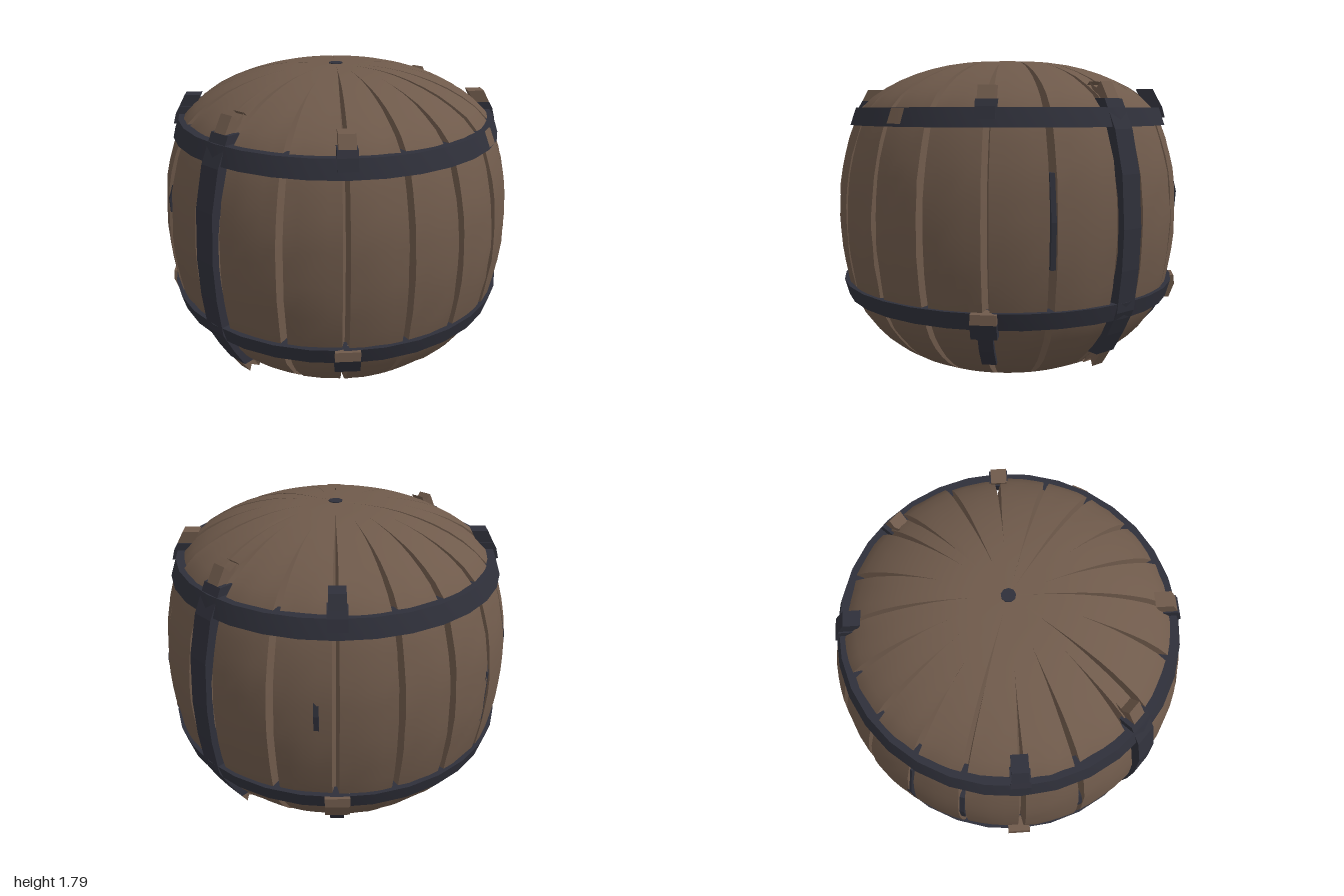
import * as THREE from 'three';
import { toCreasedNormals } from 'three/addons/utils/BufferGeometryUtils.js';

const wood = new THREE.MeshStandardMaterial({ color: 0x6f5a4b });
wood.name = 'brown wood';
const iron = new THREE.MeshStandardMaterial({ color: 0x2f303a });
iron.name = 'dark iron';

const rad = THREE.MathUtils.degToRad;
let seed = 7;
const rnd = () => (seed = (seed * 16807) % 2147483647) / 2147483647;

// Half outline of the barrel: radius, height
const outline = new THREE.CatmullRomCurve3([
  [0.005, 0.005], [0.3, 0.02], [0.54, 0.09], [0.7, 0.18], [0.84, 0.32], [0.925, 0.46], [0.955, 0.58],
  [0.985, 0.8], [0.987, 0.98], [0.965, 1.2], [0.9, 1.42], [0.85, 1.52], [0.75, 1.61],
  [0.58, 1.7], [0.33, 1.77], [0.005, 1.79],
].map(([r, y]) => new THREE.Vector3(r, y, 0)));
const profile = outline.getSpacedPoints(34);

// Groove directions, measured from the front; narrow staves sit at both sides
const quarter = [9, 26.5, 45.5, 64.5, 85.5];
const edges = [...quarter, ...quarter.map(a => 180 - a).reverse(),
  ...quarter.map(a => 180 + a), ...quarter.map(a => 360 - a).reverse()];
const grooves = edges.map(a => ({
  a: rad(a), top: 0.05 + rnd() * 0.4, bottom: 0.05 + rnd() * 0.35,
}));

function mesh(name, geometry, material) {
  const m = new THREE.Mesh(geometry, material);
  m.name = name;
  return m;
}

// Groove strength fades towards the two poles
function fade(groove, p) {
  const start = p.y > 0.9 ? groove.top : groove.bottom;
  return THREE.MathUtils.smoothstep(p.x, start, start + 0.4);
}

// One stave from pole to pole, with both long edges folded into the grooves
function staveGeometry(g0, g1, a1) {
  const pos = [], index = [], n = 7;
  const lift = (rnd() - 0.5) * 0.012;
  profile.forEach((p, j) => {
    const f0 = fade(g0, p), f1 = fade(g1, p);
    const body = THREE.MathUtils.smoothstep(p.x, 0.5, 0.85);
    const left = g0.a + 0.003 + 0.016 * f0, right = a1 - 0.003 - 0.016 * f1;
    for (let i = 0; i < n; i++) {
      let a, s;
      if (i === 0) { a = g0.a; s = 1 - 0.085 * f0; }
      else if (i === n - 1) { a = a1; s = 1 - 0.085 * f1; }
      else {
        a = THREE.MathUtils.lerp(left, right, (i - 1) / (n - 3));
        s = 1 + (lift + (rnd() - 0.5) * 0.006) * body;
      }
      pos.push(Math.sin(a) * p.x * s, 0.9 + (p.y - 0.9) * s, Math.cos(a) * p.x * s);
      if (i < n - 1 && j < profile.length - 1) {
        const k = j * n + i;
        index.push(k, k + 1, k + n + 1, k, k + n + 1, k + n);
      }
    }
  });
  const g = new THREE.BufferGeometry();
  g.setAttribute('position', new THREE.Float32BufferAttribute(pos, 3));
  g.setIndex(index);
  return toCreasedNormals(g, rad(30));
}

// Hoop with a slanted outer face, optionally only an arc of it
function hoop(name, r0, y0, r1, y1, material, start = 0, sweep = Math.PI * 2, steps = 32) {
  const pts = [[r0 - 0.08, y0], [r0, y0], [r1, y1], [r1 - 0.08, y1]].map(p => new THREE.Vector2(...p));
  const g = new THREE.LatheGeometry(pts, steps, start, sweep);
  return mesh(name, toCreasedNormals(g, rad(25)), material);
}

// Bar of given width whose outer face follows [radius, height] points at one direction
function strap(name, angle, points, width, thick, material) {
  const inner = points.map(([r, y]) => [r - thick, y]).reverse();
  const shape = new THREE.Shape([...points, ...inner].map(p => new THREE.Vector2(...p)));
  const g = new THREE.ExtrudeGeometry(shape, { depth: width, bevelEnabled: false });
  g.translate(0, 0, -width / 2).rotateY(rad(angle - 90));
  return mesh(name, g, material);
}

export function createModel() {
  const model = new THREE.Group();
  model.name = 'barrel';

  // Staves
  const staves = new THREE.Group();
  staves.name = 'staves';
  grooves.forEach((g, i) => {
    const next = grooves[(i + 1) % grooves.length];
    const end = next.a > g.a ? next.a : next.a + Math.PI * 2;
    staves.add(mesh('stave', staveGeometry(g, next, end), wood));
  });
  model.add(staves);

  // Centre plug on the lid
  const plug = mesh('lidPlug', new THREE.CylinderGeometry(0.038, 0.038, 0.008, 9), iron);
  plug.position.y = 1.789;
  model.add(plug);

  // Hoops, with one worn patch on the upper hoop
  model.add(hoop('upperHoop', 0.915, 1.43, 0.882, 1.525, iron));
  model.add(hoop('lowerHoop', 0.95, 0.46, 0.975, 0.55, iron));
  model.add(hoop('wornPatch', 0.919, 1.445, 0.887, 1.522, wood, rad(11), rad(6), 2));

  // Upright side straps with wooden tips
  for (const a of [90, -90]) {
    model.add(strap('sideStrap', a, [[0.83, 0.25], [0.9, 0.37], [0.965, 0.5], [0.992, 0.72], [1, 0.93],
      [0.98, 1.2], [0.925, 1.42], [0.9, 1.47], [0.85, 1.57]], 0.125, 0.075, iron));
    model.add(strap('upperStrapTip', a, [[0.85, 1.57], [0.8, 1.655], [0.75, 1.6]], 0.08, 0.08, wood));
    model.add(strap('lowerStrapTip', a, [[0.76, 0.21], [0.775, 0.165], [0.83, 0.25]], 0.075, 0.07, wood));
  }

  // Diagonal clips on both hoops
  for (const a of [45, -45, 135, -135]) {
    const front = Math.abs(a) < 90;
    model.add(strap('upperClip', a, [[0.912, 1.47], [0.895, 1.53], [0.875, 1.565]], 0.1, 0.1, iron));
    model.add(strap('upperClipTip', a, [[0.875, 1.565], [0.84, 1.63]], 0.085, 0.09, front ? wood : iron));
    model.add(strap('lowerClip', a, [[0.965, 0.42], [0.995, 0.5]], 0.13, 0.09, front ? iron : wood));
    model.add(strap('lowerClipTop', a, [[0.995, 0.5], [0.99, 0.55]], 0.13, 0.09, wood));
    if (a !== -45)
      model.add(strap('lowerStrap', a, [[0.79, 0.23], [0.88, 0.33], [0.945, 0.45]], 0.075, 0.06, iron));
  }

  // Dark iron showing through a few grooves
  for (const [a, y0, y1] of [[64.5, 0.76, 1.22], [129, 0.97, 1.14], [206.5, 0.95, 1.3], [244, 1.05, 1.2],
    [188, 0.75, 1.35]]) {
    const at = y => 0.992 - 0.42 * Math.max(0, y - 0.95) ** 2;
    const ym = (y0 + y1) / 2;
    model.add(strap('grooveSlit', a, [[at(y0) - 0.01, y0], [at(ym), ym], [at(y1) - 0.01, y1]], 0.026, 0.05, iron));
  }
  return model;
}
